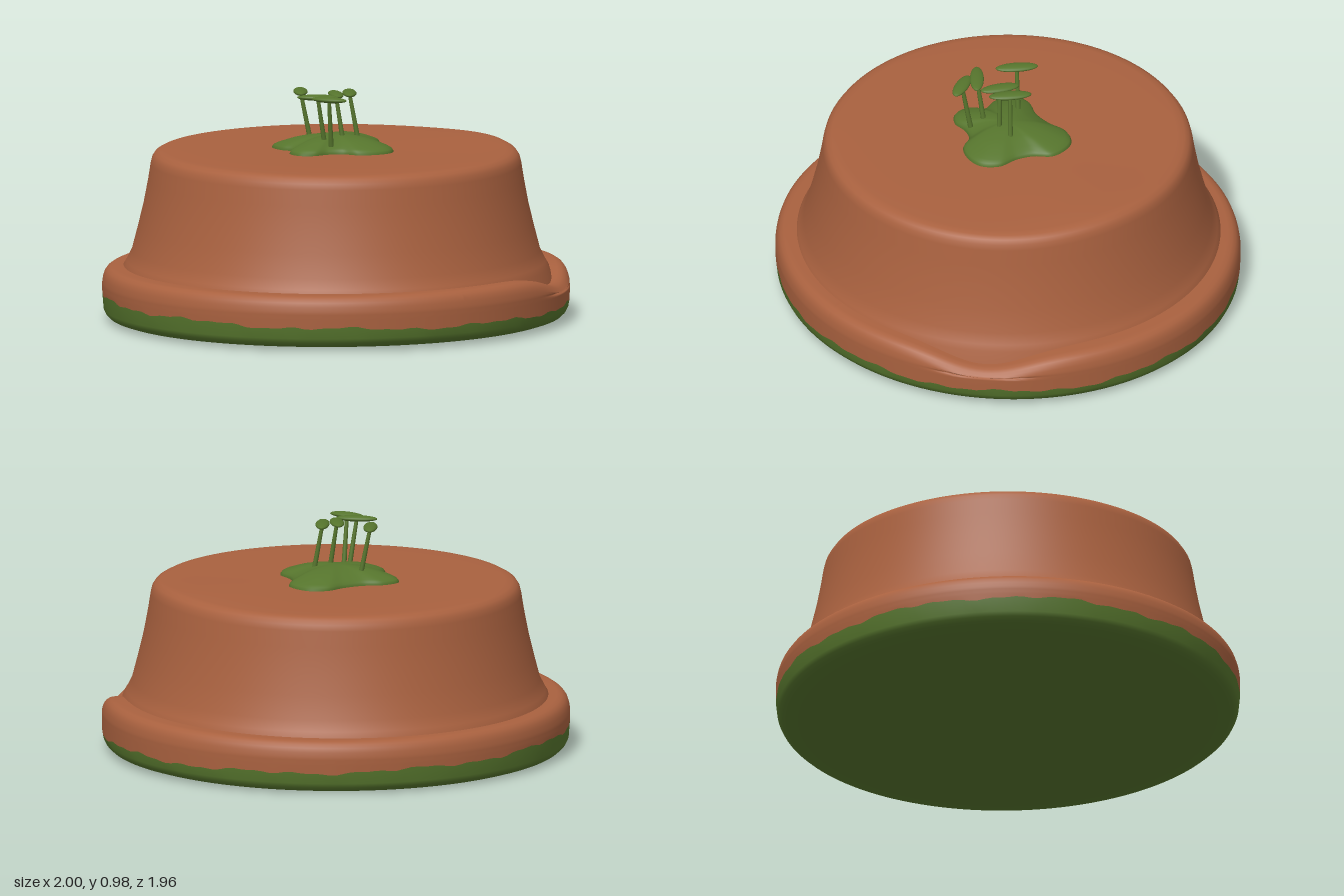
import * as THREE from 'three';
import { mergeVertices } from 'three/addons/utils/BufferGeometryUtils.js';

const SEG = 192;

// Lathe a profile of [radius, y] points, then move each vertex by a rule
function turned(profile, rule) {
  let geo = new THREE.LatheGeometry(profile.map(([r, y]) => new THREE.Vector2(r, y)), SEG);
  const pos = geo.attributes.position;
  const uv = geo.attributes.uv;
  const v = new THREE.Vector3();
  for (let i = 0; i < pos.count; i++) {
    v.fromBufferAttribute(pos, i);
    rule(v, uv.getX(i) * Math.PI * 2, uv.getY(i));
    pos.setXYZ(i, v.x, v.y, v.z);
  }
  geo.deleteAttribute('uv');
  geo.deleteAttribute('normal');
  geo = mergeVertices(geo, 1e-5);
  geo.computeVertexNormals();
  return geo;
}

// Ragged upper edge of the moss on the rim
const mossLine = (a) => 0.1 - 0.015 * Math.sin(a) - 0.012 * Math.cos(a)
  + 0.005 * Math.sin(9 * a) + 0.004 * Math.sin(23 * a + 1) + 0.003 * Math.sin(47 * a);

const bell = (x, width) => Math.exp(-((x / width) ** 2));

// Slight oval and tilt of the rim, with a chip and crack at the front right
function shapeRim(v, a) {
  const off = a - Math.PI / 4;
  const upper = THREE.MathUtils.smoothstep(v.y, 0.13, 0.22);
  const crack = 0.03 * bell(off, 0.14) * bell(v.y - 0.158, 0.008);
  v.y -= 0.065 * bell(off, 0.24) * upper;
  v.x *= 1 - crack;
  v.z *= 0.982 * (1 - crack);
  v.y += 0.007 * v.z;
}

export function createModel() {
  const clay = new THREE.MeshStandardMaterial({ color: 0xa9613f });
  clay.name = 'terracotta';
  const moss = new THREE.MeshStandardMaterial({ color: 0x56752d });
  moss.name = 'moss green';

  const model = new THREE.Group();
  model.name = 'mossyUpturnedPot';
  const add = (name, geo, mat, parent = model) => {
    const mesh = new THREE.Mesh(geo, mat);
    mesh.name = name;
    parent.add(mesh);
    return mesh;
  };

  // Tapered body with a softly rounded top
  const body = [[0.93, 0.15], [0.905, 0.23], [0.89, 0.255], [0.868, 0.3], [0.842, 0.4], [0.818, 0.5],
    [0.799, 0.6], [0.788, 0.67], [0.782, 0.695], [0.77, 0.713], [0.75, 0.724], [0.72, 0.728],
    [0.6, 0.73], [0.4, 0.731], [0.2, 0.732], [0, 0.732]];
  add('potBody', turned(body, (v) => {
    if (v.y > 0.6) v.y += 0.012 * bell(Math.hypot(v.x - 0.68, v.z - 0.05), 0.3);
  }), clay);

  // Rim, clay above the moss line
  const rim = [[0.999, 0.1], [1, 0.135], [1, 0.145], [1, 0.152], [1, 0.158], [1, 0.164], [0.999, 0.172],
    [0.996, 0.19], [0.99, 0.208], [0.98, 0.222], [0.965, 0.232], [0.945, 0.236], [0.88, 0.237]];
  add('potRim', turned(rim, (v, a) => {
    if (v.y < 0.11) v.y = mossLine(a);
    shapeRim(v, a);
  }), clay);

  // Mossy foot of the rim with the closed underside
  const foot = [[0, 0.008], [0.5, 0.008], [0.9, 0.01], [0.945, 0.014], [0.97, 0.022], [0.985, 0.036],
    [0.994, 0.055], [0.999, 0.1]];
  add('mossyFoot', turned(foot, (v, a) => {
    if (v.y > 0.09) v.y = mossLine(a);
    shapeRim(v, a);
  }), moss);

  // Lobed moss cushion on top
  const outline = new THREE.CatmullRomCurve3([[0.05, 0.25], [0.12, 0.24], [0.17, 0.18], [0.175, 0.09],
    [0.2, 0.02], [0.25, -0.04], [0.25, -0.11], [0.22, -0.17], [0.15, -0.2], [0.06, -0.18], [-0.03, -0.18],
    [-0.12, -0.21], [-0.2, -0.19], [-0.22, -0.1], [-0.2, -0.03], [-0.25, 0.02], [-0.25, 0.09],
    [-0.2, 0.13], [-0.13, 0.13], [-0.07, 0.155], [-0.03, 0.22]]
    .map(([x, z]) => new THREE.Vector3(x, 0, z)), true);
  const dome = [[1.0, 0.715], [1.0, 0.735], [0.97, 0.746], [0.9, 0.755], [0.8, 0.764], [0.65, 0.777],
    [0.5, 0.786], [0.3, 0.794], [0.15, 0.797], [0, 0.798]];
  add('mossCushion', turned(dome, (v, a) => {
    const r = Math.hypot(v.x, v.z);
    const p = outline.getPoint((a / (Math.PI * 2)) % 1);
    v.x = p.x * r;
    v.z = p.z * r;
  }), moss);

  // Sprouts: root x,z; leaf centre x,z; leaf half-length vector x,z
  const sprouts = [
    [-0.062, -0.105, -0.098, -0.125, 0.048, -0.078],
    [0.003, 0.05, -0.02, 0.028, 0.033, -0.078],
    [0.08, 0.05, 0.05, 0.028, 0.048, -0.078],
    [-0.095, 0.055, -0.135, 0.062, 0.07, 0.055],
    [-0.105, 0.12, -0.133, 0.145, 0.042, 0.07],
  ];
  const up = new THREE.Vector3(0, 1, 0);
  sprouts.forEach(([rx, rz, lx, lz, dx, dz], i) => {
    const sprout = new THREE.Group();
    sprout.name = `sprout${i + 1}`;
    model.add(sprout);
    const root = new THREE.Vector3(rx, 0.765, rz);
    const tip = new THREE.Vector3(lx, 0.97, lz);
    const dir = tip.clone().sub(root);
    const stem = add('stem', new THREE.CylinderGeometry(0.008, 0.011, dir.length(), 10), moss, sprout);
    stem.position.copy(root).lerp(tip, 0.5);
    stem.quaternion.setFromUnitVectors(up, dir.normalize());
    const leaf = add('leaf', new THREE.SphereGeometry(1, 24, 12), moss, sprout);
    leaf.scale.set(Math.hypot(dx, dz), 0.013, 0.03);
    leaf.position.copy(tip);
    leaf.rotation.y = Math.atan2(-dz, dx);
  });

  return model;
}
